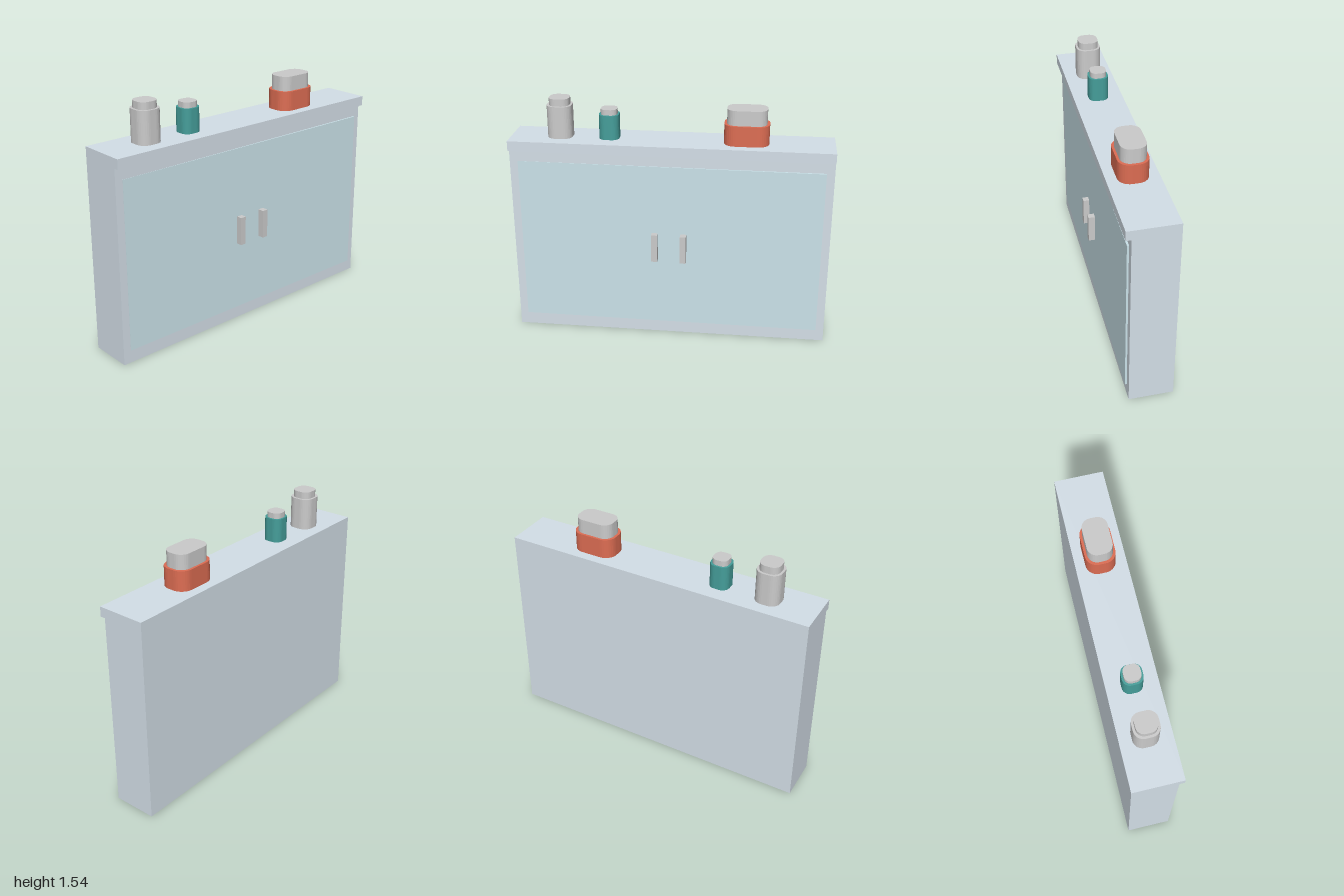
import * as THREE from 'three';

const material = (color) => new THREE.MeshStandardMaterial({ color, flatShading: true });
const grey = material(0xcccccc);
const casing = material(0xd4dfe8);
const doorBlue = material(0xcbe3ea);
const red = material(0xdd6d53);
const teal = material(0x459e9a);

// Box given by its extents along each axis
function box(name, mat, [x0, x1], [y0, y1], [z0, z1]) {
  const mesh = new THREE.Mesh(new THREE.BoxGeometry(x1 - x0, y1 - y0, z1 - z0), mat);
  mesh.position.set((x0 + x1) / 2, (y0 + y1) / 2, (z0 + z1) / 2);
  mesh.name = name;
  return mesh;
}

// Upright prism with a rounded-rectangle footprint
function roundedPrism(name, mat, halfX, halfZ, radius, y0, y1) {
  const s = new THREE.Shape();
  const a = halfX - radius, b = halfZ - radius;
  s.absarc(a, b, radius, 0, Math.PI / 2);
  s.absarc(-a, b, radius, Math.PI / 2, Math.PI);
  s.absarc(-a, -b, radius, Math.PI, Math.PI * 1.5);
  s.absarc(a, -b, radius, Math.PI * 1.5, Math.PI * 2);
  const geo = new THREE.ExtrudeGeometry(s, { depth: y1 - y0, bevelEnabled: false, curveSegments: 4 });
  geo.rotateX(-Math.PI / 2);
  const mesh = new THREE.Mesh(geo, mat);
  mesh.position.y = y0;
  mesh.name = name;
  return mesh;
}

// Container with a narrower lid, standing on the top board
function container(name, mat, x, [bx, bz, br], bodyTop, [lx, lz, lr], lidTop) {
  const g = new THREE.Group();
  g.name = name;
  g.position.set(x, 0, -0.01);
  g.add(roundedPrism(name + 'Body', mat, bx, bz, br, 1.29, bodyTop));
  g.add(roundedPrism(name + 'Lid', grey, lx, lz, lr, bodyTop, lidTop));
  return g;
}

export function createModel() {
  const model = new THREE.Group();
  model.name = 'cabinet';

  // Cabinet body and overhanging top board
  model.add(box('body', casing, [-1, 1], [0, 1.23], [-0.163, 0.114]));
  model.add(box('topBoard', casing, [-1, 1], [1.23, 1.292], [-0.163, 0.146]));

  // Door panel, very slightly turned so its left side stands proud
  const door = box('doorPanel', doorBlue, [-0.95, 0.95], [0.08, 1.155], [0.1, 0.1205]);
  door.rotation.y = -0.0055;
  model.add(door);

  // Pair of handles
  model.add(box('leftHandle', grey, [0.07, 0.108], [0.527, 0.71], [0.115, 0.163]));
  model.add(box('rightHandle', grey, [-0.112, -0.074], [0.527, 0.71], [0.115, 0.158]));

  // Containers on top
  model.add(container('tallJar', grey, -0.694, [0.077, 0.077, 0.058], 1.495, [0.063, 0.063, 0.048], 1.54));
  model.add(container('smallJar', teal, -0.386, [0.062, 0.062, 0.046], 1.445, [0.05, 0.05, 0.037], 1.48));
  model.add(container('wideTin', red, 0.461, [0.138, 0.092, 0.072], 1.417, [0.122, 0.077, 0.06], 1.51));

  return model;
}
